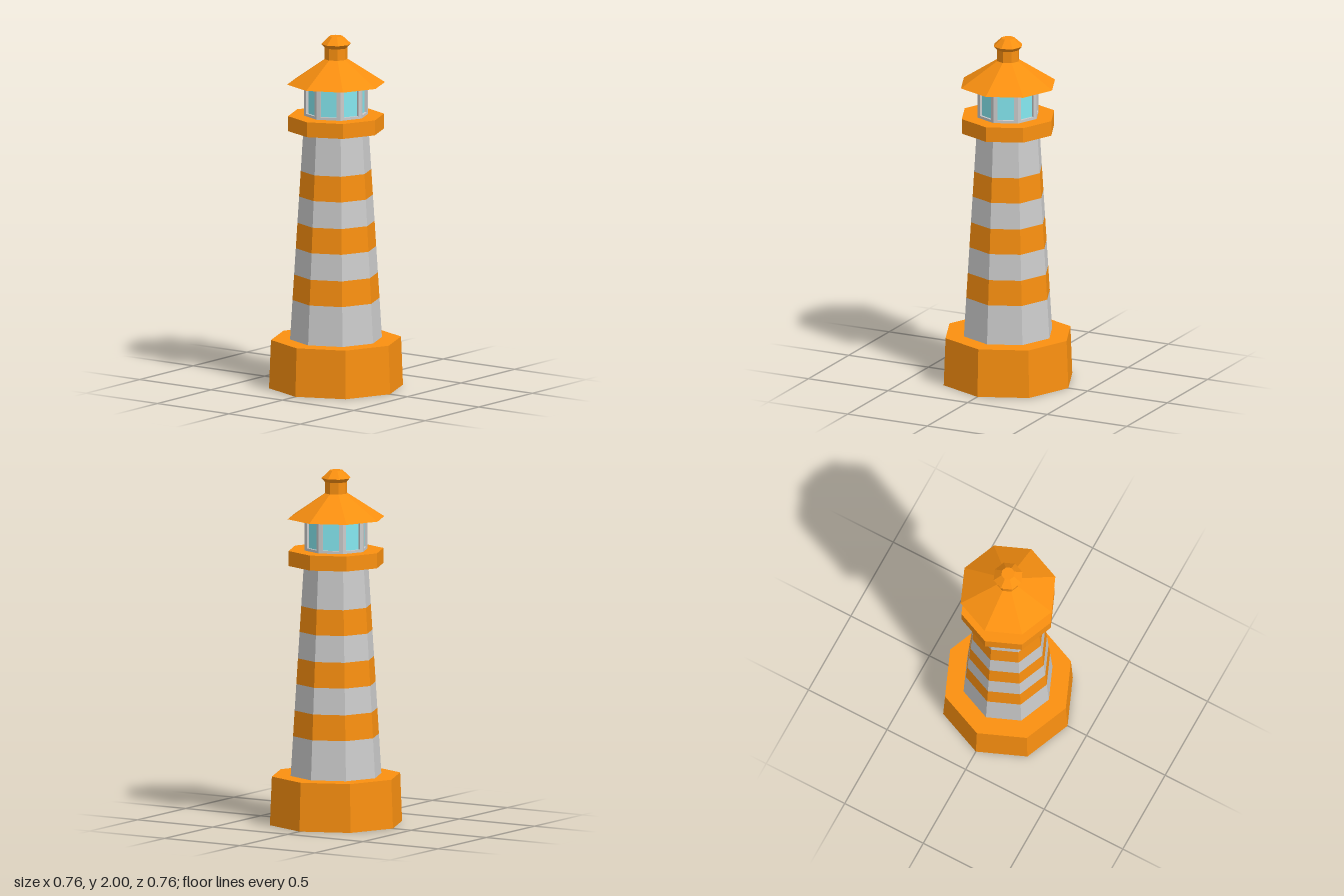
import * as THREE from 'three';

const SIDES = 8;
const grey = new THREE.MeshStandardMaterial({ color: 0xcccccc, flatShading: true });
const orange = new THREE.MeshStandardMaterial({ color: 0xfa9010, flatShading: true });
const cyan = new THREE.MeshStandardMaterial({ color: 0x85e8f0, flatShading: true });

// Octagonal solid from a profile of [radius, y], listed from bottom to top
function turned(name, material, profile) {
  const points = profile.map(([r, y]) => new THREE.Vector2(r, y));
  const mesh = new THREE.Mesh(new THREE.LatheGeometry(points, SIDES), material);
  mesh.name = name;
  return mesh;
}

export function createModel() {
  const model = new THREE.Group();
  model.name = 'lighthouse';

  // Base ring around the foot of the tower
  model.add(turned('base', orange, [[0.27, 0], [0.379, 0], [0.368, 0.275], [0.25, 0.275]]));

  // Tapered tower in alternating bands, with a closed foot
  const levels = [0, 0.5, 0.645, 0.795, 0.94, 1.09, 1.235, 1.465];
  const radius = (y) => (y === 0 ? 0.27 : 0.278 - 0.0635 * y);
  const tower = new THREE.Group();
  tower.name = 'tower';
  for (let i = 0; i < levels.length - 1; i++) {
    const [y0, y1] = [levels[i], levels[i + 1]];
    const profile = [[radius(y0), y0], [radius(y1), y1]];
    if (i === 0) profile.splice(0, 1, [0, 0], [0.27, 0], [0.26, 0.275]);
    tower.add(turned(i % 2 ? 'stripe' : 'wallBand', i % 2 ? orange : grey, profile));
  }
  model.add(tower);

  // Gallery deck
  model.add(turned('gallery', orange, [[0, 1.465], [0.272, 1.465], [0.272, 1.55], [0, 1.55]]));

  // Lantern room: recessed glass behind eight window frames
  const lantern = new THREE.Group();
  lantern.name = 'lanternRoom';
  lantern.add(turned('glass', cyan, [[0.165, 1.55], [0.165, 1.73]]));

  const R = 0.18, depth = 0.015;
  const half = R * Math.sin(Math.PI / SIDES);
  const apothem = R * Math.cos(Math.PI / SIDES);
  const rect = (Type, w, y0, y1) => new Type([[-w, y0], [w, y0], [w, y1], [-w, y1]]
    .map(([x, y]) => new THREE.Vector2(x, y)));
  const frameShape = rect(THREE.Shape, half, 1.55, 1.73);
  frameShape.holes.push(rect(THREE.Path, half - 0.022, 1.565, 1.722));
  const frameGeometry = new THREE.ExtrudeGeometry(frameShape, { depth, bevelEnabled: false });
  frameGeometry.translate(0, 0, apothem - depth);
  for (let i = 0; i < SIDES; i++) {
    const frame = new THREE.Mesh(frameGeometry, grey);
    frame.name = 'windowFrame';
    frame.rotation.y = (i + 0.5) * Math.PI * 2 / SIDES;
    lantern.add(frame);
  }
  model.add(lantern);

  // Roof and its capped vent
  model.add(turned('roof', orange, [[0, 1.73], [0.277, 1.73], [0.064, 1.87], [0, 1.87]]));
  model.add(turned('roofVent', orange, [[0.064, 1.865], [0.064, 1.935], [0.084, 1.957], [0.038, 2], [0, 2]]));

  return model;
}
